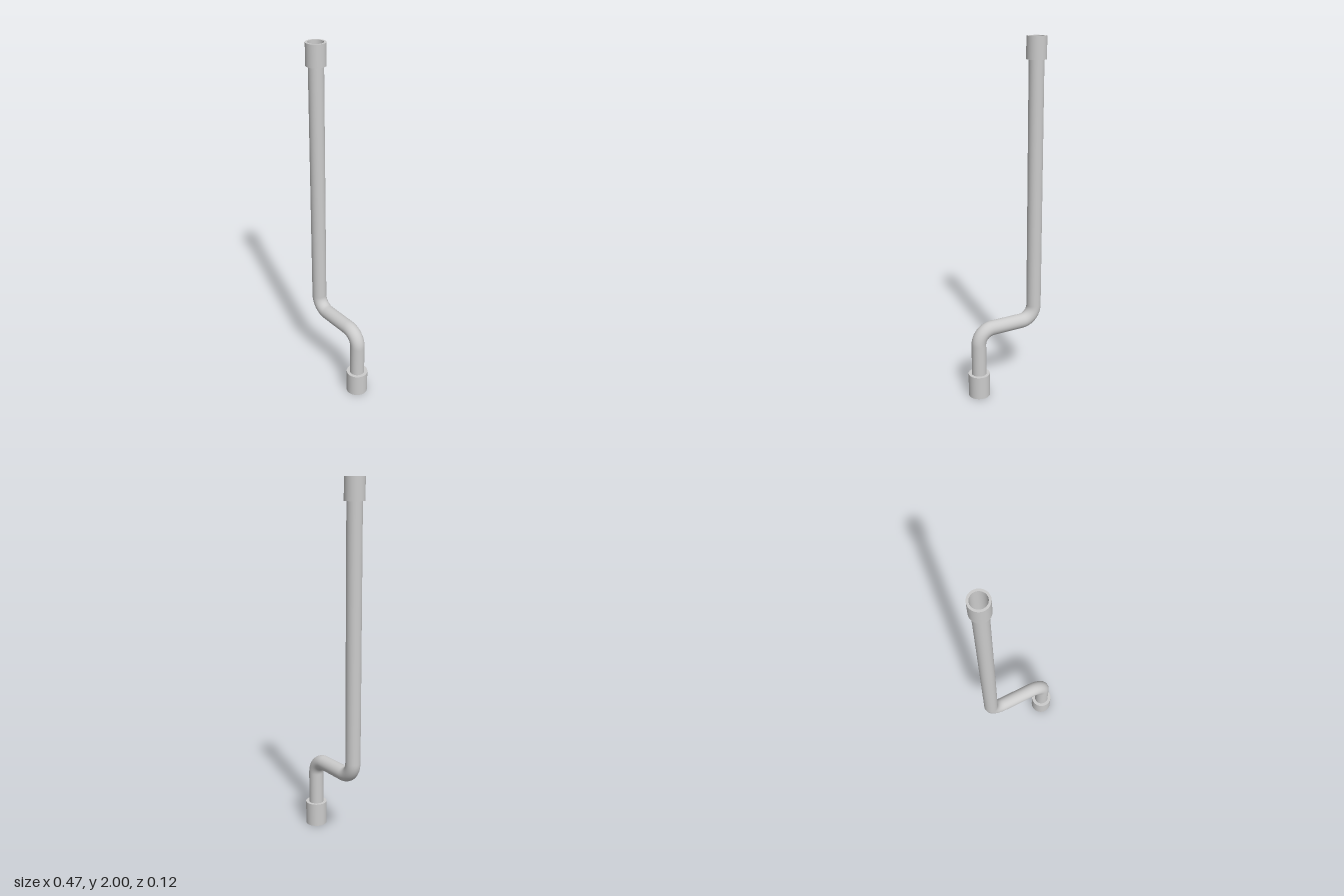
import * as THREE from 'three';

const material = new THREE.MeshStandardMaterial({ color: 0xcccccc, side: THREE.DoubleSide });
const TOP_X = -0.183, BOTTOM_X = 0.175, RUN_Y = 0.4, BEND = 0.085, PIPE_R = 0.0415;

// Straight runs joined by rounded corners
function roundedPath(points, radius) {
  const path = new THREE.CurvePath();
  const k = 0.5523;
  let from = points[0];
  for (let i = 1; i < points.length - 1; i++) {
    const corner = points[i];
    const toward = (p, d) => corner.clone().add(p.clone().sub(corner).setLength(d));
    const a = toward(points[i - 1], radius), b = toward(points[i + 1], radius);
    path.add(new THREE.LineCurve3(from, a));
    path.add(new THREE.CubicBezierCurve3(
      a, toward(points[i - 1], radius * (1 - k)), toward(points[i + 1], radius * (1 - k)), b));
    from = b;
  }
  path.add(new THREE.LineCurve3(from, points[points.length - 1]));
  path.arcLengthDivisions = 800;
  return path;
}

// Hollow collar; corners are doubled so that the edges stay sharp
function makeCollar(name, x, y0, y1, outer, inner) {
  const group = new THREE.Group();
  group.name = name;
  const corners = [[inner, y0], [outer, y0], [outer, y1], [inner, y1], [inner, y0]];
  for (let i = 0; i < 4; i++) {
    const profile = [corners[i], corners[i + 1]].map(([r, y]) => new THREE.Vector2(r, y));
    const wall = new THREE.Mesh(new THREE.LatheGeometry(profile, 40), material);
    wall.name = ['lowerRim', 'outerWall', 'upperRim', 'innerWall'][i];
    group.add(wall);
  }
  group.position.x = x;
  return group;
}

export function createModel() {
  const model = new THREE.Group();
  model.name = 'offsetPipe';

  // Open pipe with an offset near its foot
  const path = roundedPath([
    new THREE.Vector3(BOTTOM_X, 0.01, 0),
    new THREE.Vector3(BOTTOM_X, RUN_Y, 0),
    new THREE.Vector3(TOP_X, RUN_Y, 0),
    new THREE.Vector3(TOP_X, 1.99, 0),
  ], BEND);
  const pipe = new THREE.Mesh(new THREE.TubeGeometry(path, 220, PIPE_R, 40), material);
  pipe.name = 'pipe';
  model.add(pipe);

  // Collars at both ends
  model.add(makeCollar('topCollar', TOP_X, 1.88, 2, 0.0545, 0.0425));
  model.add(makeCollar('bottomCollar', BOTTOM_X, 0, 0.135, 0.061, 0.0425));
  return model;
}
